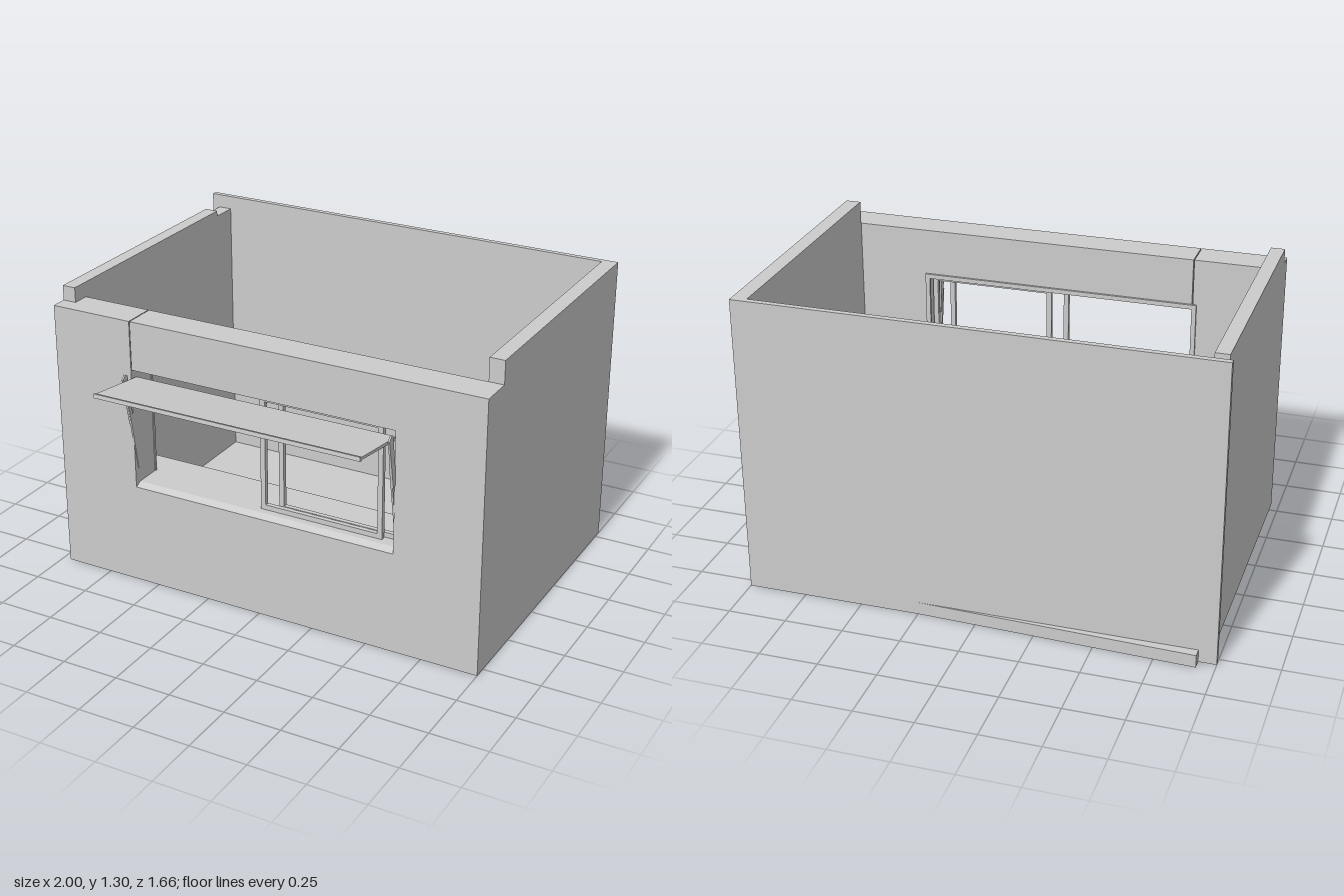
import * as THREE from 'three';

const material = new THREE.MeshStandardMaterial({ color: 0xcccccc, flatShading: true });

export function createModel() {
  const model = new THREE.Group();
  model.name = 'kiosk';

  const add = (name, geometry, parent = model) => {
    const mesh = new THREE.Mesh(geometry, material);
    mesh.name = name;
    parent.add(mesh);
    return mesh;
  };
  // Box given by its limits on each axis
  const box = (name, x0, x1, y0, y1, z0, z1, parent) => {
    const mesh = add(name, new THREE.BoxGeometry(x1 - x0, y1 - y0, z1 - z0), parent);
    mesh.position.set((x0 + x1) / 2, (y0 + y1) / 2, (z0 + z1) / 2);
    return mesh;
  };
  const shapeOf = (points) => new THREE.Shape(points.map(([x, y]) => new THREE.Vector2(x, y)));
  const extrude = (points, depth) =>
    new THREE.ExtrudeGeometry(shapeOf(points), { depth, bevelEnabled: false });
  // Profile of [z, y] points extruded along x from x0 to x1
  const alongX = (name, points, x0, x1, parent) => {
    const geometry = extrude(points.map(([z, y]) => [-z, y]), x1 - x0);
    geometry.rotateY(Math.PI / 2).translate(x0, 0, 0);
    return add(name, geometry, parent);
  };
  // Rectangular frame made of four bars
  const frame = (name, x0, x1, y0, y1, z0, z1, t) => {
    const group = new THREE.Group();
    group.name = name;
    box('leftStile', x0, x0 + t, y0, y1, z0, z1, group);
    box('rightStile', x1 - t, x1, y0, y1, z0, z1, group);
    box('bottomRail', x0 + t, x1 - t, y0, y0 + t, z0, z1, group);
    box('topRail', x0 + t, x1 - t, y1 - t, y1, z0, z1, group);
    model.add(group);
  };

  // Floor and three plain walls
  box('floor', -0.965, 0.935, 0, 0.03, -0.765, 0.41);
  box('backWall', -1, 1, 0, 1.305, -0.79, -0.765);
  box('leftSideWall', 0.935, 1, 0, 1.305, -0.765, 0.41);
  box('rightSideWall', -0.965, -0.905, 0, 1.27, -0.645, 0.41);
  box('rightSideWallRearEnd', -0.965, -0.905, 0, 1.245, -0.765, -0.645);
  box('rightSideWallFrontEnd', -0.965, -0.905, 1.205, 1.27, 0.41, 0.485);

  // Front wall with serving opening and a narrow joint above its corner
  const front = extrude([
    [-0.965, 0], [1, 0], [1, 1.205], [-0.589, 1.205], [-0.589, 0.99],
    [0.62, 0.99], [0.62, 0.45], [-0.593, 0.45], [-0.593, 1.205], [-0.965, 1.205],
  ], 0.145);
  add('frontWall', front.translate(0, 0, 0.41));

  // Sloped sill, counter inside and trim around the inner opening
  alongX('sill', [[0.41, 0.44], [0.555, 0.44], [0.555, 0.45], [0.525, 0.465], [0.41, 0.465]], -0.593, 0.62);
  box('counter', -0.905, 0.61, 0.44, 0.465, 0.28, 0.41);
  frame('innerTrim', -0.61, 0.63, 0.445, 1.0, 0.4, 0.412, 0.02);

  // Two sliding sashes
  frame('frontSash', -0.017, 0.54, 0.465, 0.975, 0.475, 0.495, 0.022);
  frame('rearSash', 0.055, 0.612, 0.465, 0.975, 0.45, 0.47, 0.022);

  // Raised awning panel with a lip on its outer edge
  alongX('awning', [[0.525, 0.935], [0.82, 0.977], [0.82, 0.988], [0.525, 0.95]], -0.587, 0.61);
  alongX('awningLip', [[0.818, 0.972], [0.831, 0.975], [0.829, 0.993], [0.816, 0.99]], -0.587, 0.61);

  // Stays holding the awning, one at each end
  for (const [x, side] of [[-0.594, -1], [0.616, 1]]) {
    const stay = new THREE.Group();
    stay.name = side < 0 ? 'rightStay' : 'leftStay';
    alongX('lowerArm', [[0.515, 0.53], [0.533, 0.53], [0.59, 0.86], [0.572, 0.86]], x - 0.004, x + 0.004, stay);
    alongX('upperArm', [[0.545, 0.76], [0.571, 0.75], [0.612, 0.965], [0.594, 0.983], [0.58, 0.975]],
      x + side * 0.004 - 0.004, x + side * 0.004 + 0.004, stay);
    model.add(stay);
  }

  // Tapering kerb along the foot of the back wall
  const kerb = extrude([[-0.925, 0.78], [0.25, 0.78], [0.25, 0.79], [-0.925, 0.832]], 0.055);
  add('rearKerb', kerb.rotateX(-Math.PI / 2));

  return model;
}
